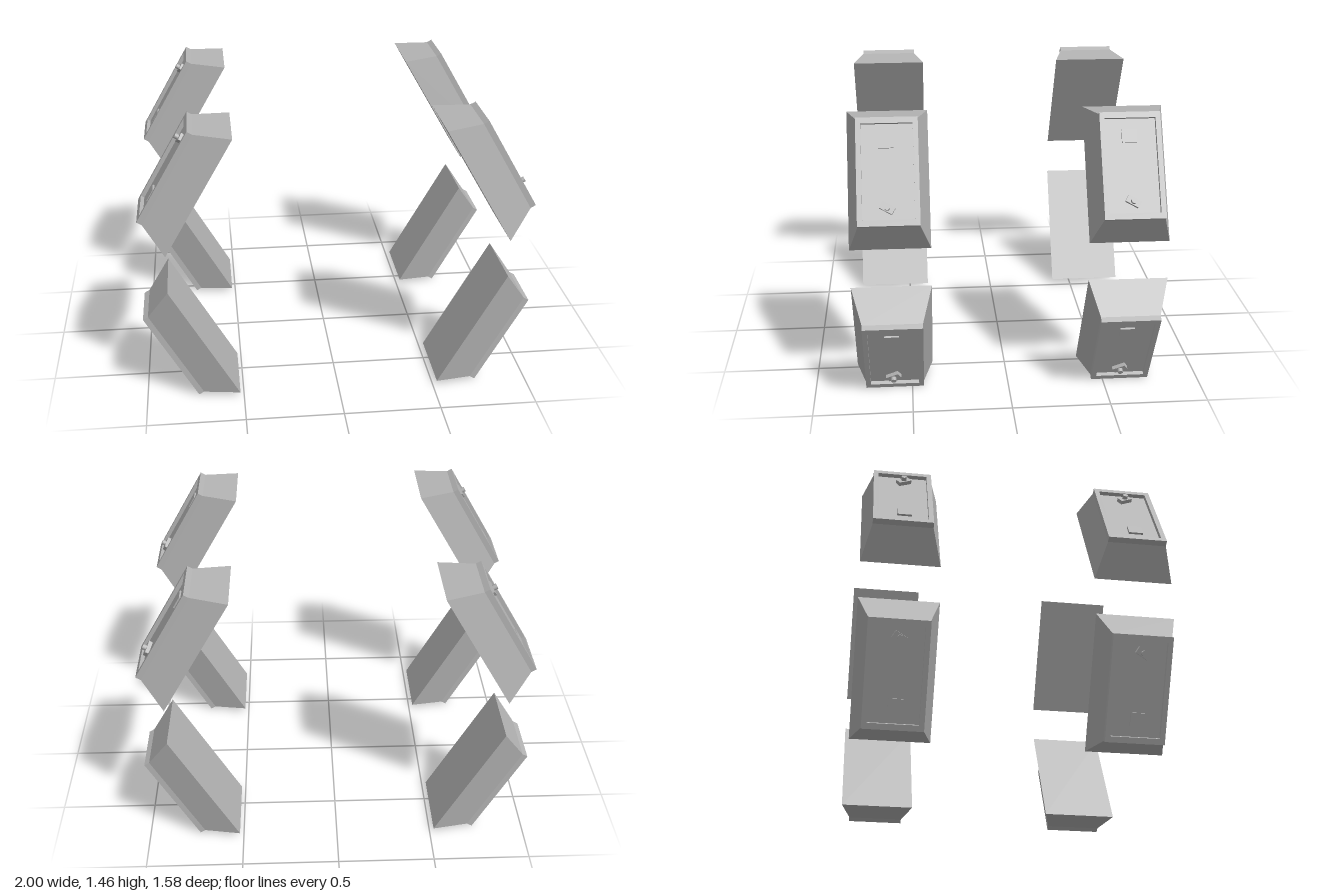
import * as THREE from 'three';

// Local frame of a locker: x points outward, y along the door, z across it.
const RING_Y = 0.73;
const SIDE_Z = 0.59;

// Sections as [x, half height, half width]: flared body, straight rim, recess wall
const SECTIONS = [
  [0.80, 0.347, 0.20],
  [0.97, 0.265, 0.15],
  [1.00, 0.265, 0.15],
  [1.00, 0.235, 0.125],
  [0.98, 0.235, 0.125],
];

function shellGeometry() {
  const loops = SECTIONS.map(([x, h, w]) => [[x, -h, w], [x, -h, -w], [x, h, -w], [x, h, w]]);
  const pos = [];
  const quad = (a, b, c, d) => pos.push(...a, ...b, ...c, ...a, ...c, ...d);
  for (let i = 0; i < loops.length - 1; i++) {
    for (let k = 0; k < 4; k++) {
      const n = (k + 1) % 4;
      quad(loops[i][k], loops[i][n], loops[i + 1][n], loops[i + 1][k]);
    }
  }
  const [a, b, c, d] = loops[0];
  quad(d, c, b, a); // back panel
  const g = new THREE.BufferGeometry();
  g.setAttribute('position', new THREE.Float32BufferAttribute(pos, 3));
  g.computeVertexNormals();
  return g;
}

export function createModel() {
  const grey = new THREE.MeshStandardMaterial({ color: 0xb4b4b4 });
  grey.name = 'grey metal';

  const shell = shellGeometry();
  const door = new THREE.BoxGeometry(0.01, 0.47, 0.25);
  const plate = new THREE.BoxGeometry(0.01, 0.065, 0.073);
  const bar = new THREE.BoxGeometry(0.02, 0.036, 0.07);
  const knob = new THREE.CylinderGeometry(0.014, 0.014, 0.02, 12).rotateZ(-Math.PI / 2);

  const part = (parent, name, geometry, x, y, z) => {
    const m = new THREE.Mesh(geometry, grey);
    m.name = name;
    m.position.set(x, y, z);
    parent.add(m);
    return m;
  };

  const makeLocker = (latchTurn) => {
    const g = new THREE.Group();
    g.name = 'locker';
    part(g, 'shell', shell, 0, 0, 0);
    part(g, 'door', door, 0.975, 0, 0);
    part(g, 'namePlate', plate, 0.985, 0.148, 0.007);
    // turned latch with a round knob on top
    const latch = new THREE.Group();
    latch.name = 'latch';
    latch.position.set(0.98, -0.177, 0.006);
    latch.rotation.x = -latchTurn;
    part(latch, 'latchBar', bar, 0.01, 0, 0);
    part(latch, 'latchKnob', knob, 0.03, 0, 0);
    g.add(latch);
    return g;
  };

  // Four lockers around the ring, repeated at front and back
  const model = new THREE.Group();
  model.name = 'lockerRing';
  for (const z of [SIDE_Z, -SIDE_Z]) {
    for (const [deg, turn] of [[30, 1], [-30, -1], [150, -1], [210, 1]]) {
      const locker = makeLocker(turn * Math.PI / 6);
      locker.position.set(0, RING_Y, z);
      locker.rotation.z = THREE.MathUtils.degToRad(deg);
      model.add(locker);
    }
  }
  return model;
}
